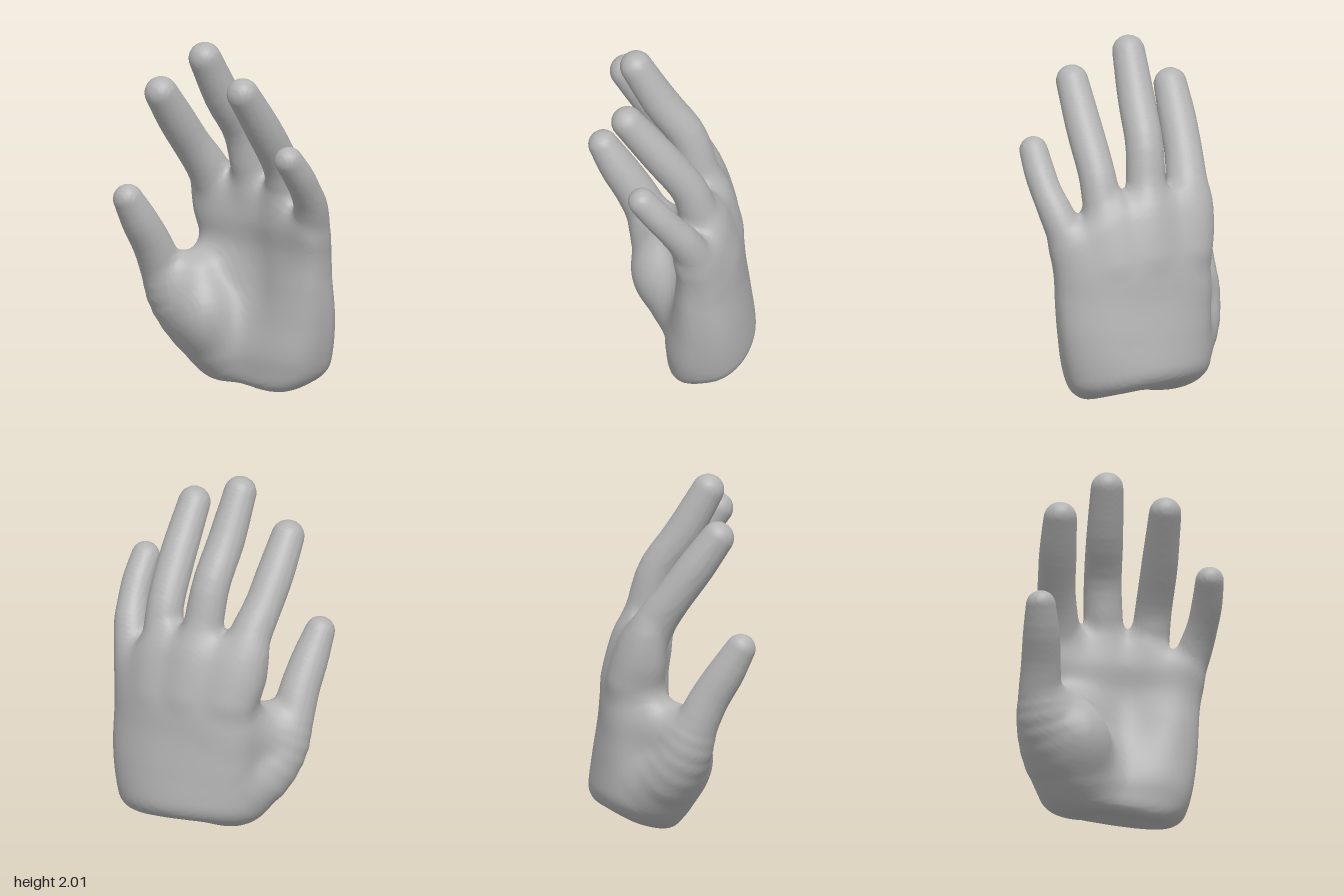
import * as THREE from 'three';

const skin = new THREE.MeshStandardMaterial({ color: 0xb4b4b4 });
skin.name = 'grey';

// Soft union and soft intersection of two distances
const blend = (a, b, k) => Math.min(a, b) - Math.max(k - Math.abs(a - b), 0) ** 2 / (4 * k);
const carve = (a, b, k) => -blend(-a, -b, k);
const { smoothstep } = THREE.MathUtils;

// Tapered round limb along a smooth path; each row is x, y, z, radius
function limb(rows, steps = 16) {
  const curve = (pts) => new THREE.CatmullRomCurve3(pts, false, 'catmullrom', 0.5);
  const path = curve(rows.map((r) => new THREE.Vector3(r[0], r[1], r[2])));
  const radii = curve(rows.map((r) => new THREE.Vector3(r[3], 0, 0)));
  const segments = [];
  for (let i = 0; i < steps; i++) {
    const a = path.getPoint(i / steps), d = path.getPoint((i + 1) / steps).sub(a);
    const r = radii.getPoint(i / steps).x, dr = radii.getPoint((i + 1) / steps).x - r;
    segments.push({ a, d, r, dr, len2: d.lengthSq() });
  }
  return (x, y, z) => {
    let best = Infinity;
    for (const { a, d, r, dr, len2 } of segments) {
      const px = x - a.x, py = y - a.y, pz = z - a.z;
      const t = Math.min(1, Math.max(0, (px * d.x + py * d.y + pz * d.z) / len2));
      const dist = Math.hypot(px - d.x * t, py - d.y * t, pz - d.z * t) - r - dr * t;
      if (dist < best) best = dist;
    }
    return best;
  };
}

// Palm sections by height: left x, right x, front z, back z
const sections = [
  [0.00, -0.31, 0.36, 0.03, -0.42],
  [0.10, -0.37, 0.42, 0.04, -0.46],
  [0.20, -0.39, 0.45, 0.05, -0.468],
  [0.40, -0.40, 0.48, 0.03, -0.445],
  [0.60, -0.40, 0.49, 0.00, -0.415],
  [0.80, -0.40, 0.49, -0.035, -0.395],
  [0.95, -0.43, 0.505, -0.035, -0.36],
  [1.08, -0.43, 0.50, -0.055, -0.315],
  [1.20, -0.42, 0.45, -0.09, -0.26],
];
const section = new THREE.CubicInterpolant(
  sections.map((s) => s[0]), sections.flatMap((s) => s.slice(1)), 4, new Float32Array(4));

function palm(x, y, z) {
  const [xl, xr, zf, zb] = section.evaluate(y);
  // Hollow of the palm, and arch of the knuckles
  const hollow = 0.055 * Math.exp(-(((x - 0.07) / 0.16) ** 2) - ((y - 0.6) / 0.28) ** 2);
  const arch = (x < 0 ? 0.2 : 0.35) * smoothstep(y, 0.3, 1) * Math.min(x * x, 0.3);
  const dx = x - (xl + xr) / 2, dz = z - arch - (zf - hollow + zb) / 2;
  const u = Math.abs(dx) / ((xr - xl) / 2), w = Math.abs(dz) / ((zf - hollow - zb) / 2);
  // Fuller corners at the front and behind the index finger
  const back = dx < 0 ? 2.1 + 0.8 * smoothstep(y, 0.2, 0.8) : 1.9 + 0.2 * smoothstep(y, 0.3, 0.9);
  const n = dz > 0 ? 3.1 : back;
  const f = Math.max(1e-3, (u ** n + w ** n) ** (1 / n));
  const side = Math.hypot(dx, dz) * (1 - 1 / f);
  // Slanted cut at the wrist, and the web line under the fingers
  const wrist = (0.058 - 0.3 * (z + 0.21) - 0.09 * x - y) * 0.95;
  const webLine = y - 1.19 + 0.7 * Math.max(0, x - 0.15);
  return carve(carve(side, wrist, 0.1), webLine, 0.12);
}

// Fingers run from inside the palm to the tip
const fingers = {
  indexFinger: limb([[-0.27, 0.85, -0.23, 0.12], [-0.295, 1.03, -0.17, 0.128], [-0.32, 1.20, -0.088, 0.117],
    [-0.345, 1.34, 0.01, 0.107], [-0.36, 1.51, 0.135, 0.105], [-0.368, 1.677, 0.255, 0.094]]),
  middleFinger: limb([[-0.03, 0.85, -0.255, 0.12], [-0.04, 1.05, -0.21, 0.123], [-0.05, 1.22, -0.15, 0.112],
    [-0.065, 1.45, -0.085, 0.106], [-0.08, 1.66, 0.06, 0.104], [-0.092, 1.908, 0.203, 0.092]]),
  ringFinger: limb([[0.18, 0.82, -0.235, 0.11], [0.20, 1.0, -0.18, 0.117], [0.215, 1.17, -0.13, 0.108],
    [0.222, 1.31, -0.075, 0.103], [0.23, 1.52, 0.075, 0.102], [0.229, 1.757, 0.255, 0.091]]),
  littleFinger: limb([[0.36, 0.74, -0.16, 0.10], [0.41, 0.93, -0.125, 0.105], [0.46, 1.09, -0.06, 0.096],
    [0.485, 1.19, 0.01, 0.087], [0.497, 1.29, 0.085, 0.086], [0.497, 1.4, 0.175, 0.08]]),
};

// Thumb, the fleshy mound at its base, and the fold towards the index finger
const thumbShaft = limb([[-0.2, 0.22, -0.14, 0.16], [-0.33, 0.31, -0.04, 0.18], [-0.42, 0.46, 0.06, 0.158],
  [-0.46, 0.62, 0.13, 0.124], [-0.47, 0.78, 0.208, 0.112], [-0.484, 0.93, 0.302, 0.104],
  [-0.502, 1.07, 0.384, 0.085]]);
const thumbMound = limb([[-0.2, 0.22, -0.03, 0.165], [-0.23, 0.4, 0.045, 0.185], [-0.29, 0.57, 0.015, 0.15]]);
const thumbWeb = limb([[-0.22, 0.64, -0.17, 0.15], [-0.32, 0.6, -0.04, 0.135], [-0.41, 0.56, 0.08, 0.125]], 8);
const thumb = (x, y, z) =>
  blend(blend(thumbShaft(x, y, z), thumbMound(x, y, z), 0.1), thumbWeb(x, y, z), 0.07);

const parts = { palm, thumb, ...fingers };
const fingerShapes = Object.values(fingers);
function handDistance(x, y, z) {
  const finger = Math.min(...fingerShapes.map((f) => f(x, y, z)));
  return blend(blend(palm(x, y, z), finger, 0.07), thumb(x, y, z), 0.11);
}

// Even net of quads over the blended form, shared out to the named parts
function skinOver(distance, min, max, step) {
  const size = min.map((m, i) => Math.ceil((max[i] - m) / step));
  const stride = [1, size[0], size[0] * size[1]];
  const total = size[0] * size[1] * size[2];
  const field = new Float32Array(total);
  const cellVertex = new Int32Array(total).fill(-1);
  const positions = [], owners = [];
  const partList = Object.values(parts);
  const quads = partList.map(() => []);
  const at = (i, j, k) => i + j * stride[1] + k * stride[2];
  const eachCell = (from, visit) => {
    for (let k = from; k < size[2] - 1; k++)
      for (let j = from; j < size[1] - 1; j++)
        for (let i = from; i < size[0] - 1; i++) visit([i, j, k], at(i, j, k));
  };
  for (let k = 0; k < size[2]; k++)
    for (let j = 0; j < size[1]; j++)
      for (let i = 0; i < size[0]; i++)
        field[at(i, j, k)] = distance(min[0] + i * step, min[1] + j * step, min[2] + k * step);

  // One vertex in each cell that the surface crosses
  eachCell(0, (cell, base) => {
    const sum = [0, 0, 0];
    let count = 0;
    for (let c = 0; c < 8; c++) {
      const corner = [c & 1, (c >> 1) & 1, c >> 2];
      const from = base + at(...corner), a = field[from];
      for (let axis = 0; axis < 3; axis++) {
        if (corner[axis]) continue;
        const b = field[from + stride[axis]];
        if ((a < 0) === (b < 0)) continue;
        for (let m = 0; m < 3; m++) sum[m] += corner[m] + (m === axis ? a / (a - b) : 0);
        count++;
      }
    }
    if (!count) return;
    const p = sum.map((s, m) => min[m] + (cell[m] + s / count) * step);
    const near = partList.map((part) => part(...p));
    cellVertex[base] = owners.length;
    owners.push(near.indexOf(Math.min(...near)));
    positions.push(...p);
  });

  // One quad around each grid edge that the surface crosses
  eachCell(1, (cell, base) => {
    for (let axis = 0; axis < 3; axis++) {
      const inside = field[base] < 0;
      if (inside === field[base + stride[axis]] < 0) continue;
      const b = stride[(axis + 1) % 3], c = stride[(axis + 2) % 3];
      const q = [base - b - c, base - c, base, base - b].map((n) => cellVertex[n]);
      if (!inside) q.reverse();
      quads[owners[q[0]]].push(q[0], q[1], q[2], q[0], q[2], q[3]);
    }
  });
  const whole = new THREE.BufferGeometry();
  whole.setAttribute('position', new THREE.Float32BufferAttribute(positions, 3));
  whole.setIndex(quads.flat());
  whole.computeVertexNormals();
  return Object.keys(parts).map((name, i) => {
    const geo = new THREE.BufferGeometry();
    geo.setAttribute('position', whole.getAttribute('position'));
    geo.setAttribute('normal', whole.getAttribute('normal'));
    geo.setIndex(quads[i]);
    const mesh = new THREE.Mesh(geo, skin);
    mesh.name = name;
    return mesh;
  });
}

export function createModel() {
  const hand = new THREE.Group();
  hand.name = 'hand';
  hand.add(...skinOver(handDistance, [-0.66, -0.07, -0.55], [0.66, 2.07, 0.55], 0.018));
  return hand;
}
